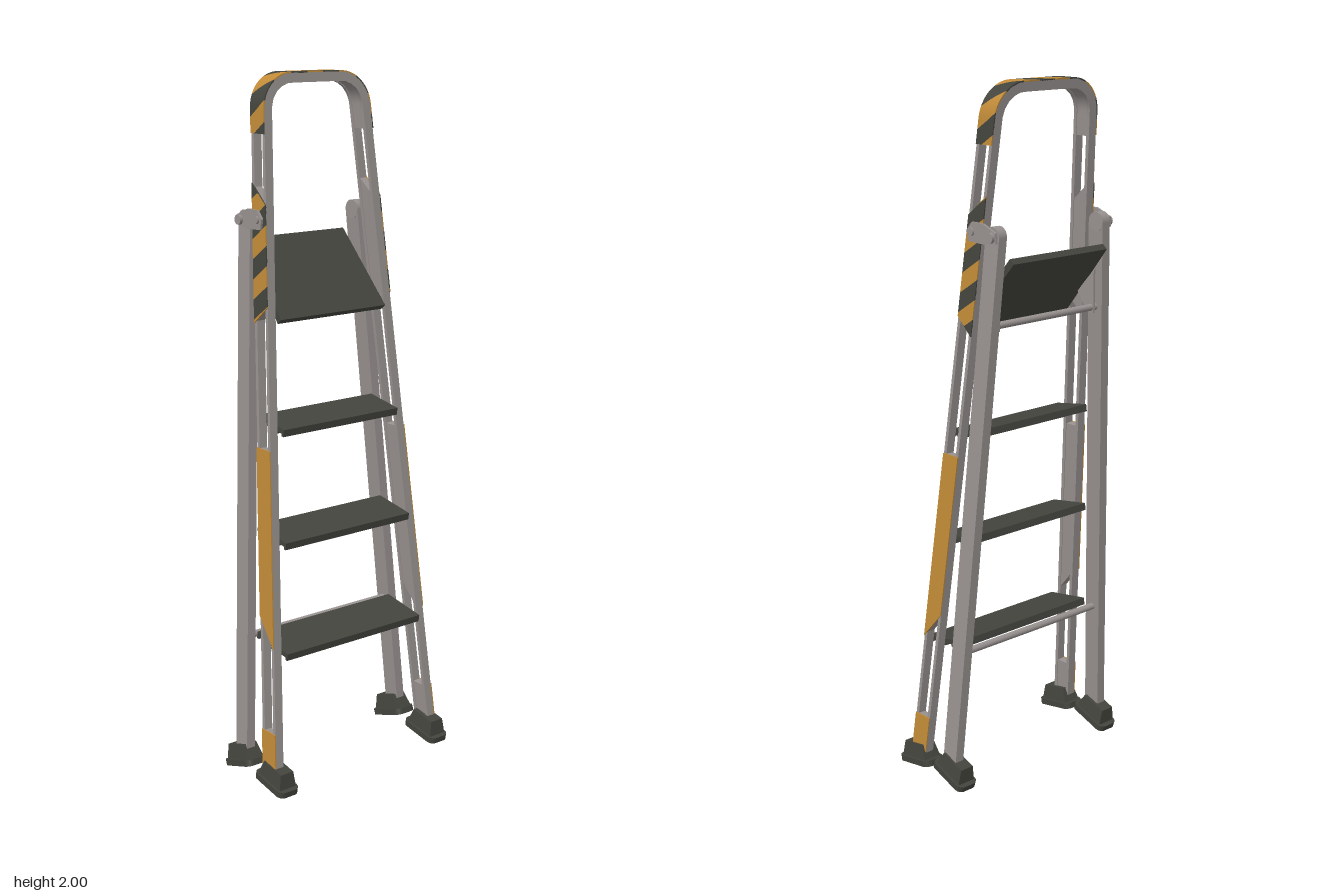
import * as THREE from 'three';

const mat = (name, color) => {
  const m = new THREE.MeshStandardMaterial({ color });
  m.name = name;
  return m;
};

export function createModel() {
  const root = new THREE.Group();
  root.name = 'stepLadder';
  const grey = mat('greyMetal', 0x989290);
  const dark = mat('darkRubber', 0x43443d);
  const orange = mat('orangePaint', 0xc08a37);

  const add = (name, geo, material, parent = root) => {
    const mesh = new THREE.Mesh(geo, material);
    mesh.name = name;
    parent.add(mesh);
    return mesh;
  };
  // Unit box whose vertices are moved by a rule
  const warp = (rule, nx = 1, ny = 1) => {
    const g = new THREE.BoxGeometry(1, 1, 1, nx, ny, 1);
    const p = g.attributes.position;
    for (let i = 0; i < p.count; i++) p.setXYZ(i, ...rule(p.getX(i), p.getY(i), p.getZ(i)));
    g.computeVertexNormals();
    return g;
  };
  const lerp = THREE.MathUtils.lerp;

  // Lean of the rails: x of front and rear rails and z of both at a height
  const frontX = (y) => 0.105 - 0.1005 * y;
  const rearX = (y) => -0.036 - 0.0573 * y;
  const railZ = (y) => 0.292 - 0.063 * y;

  // Hoop path: flat top, rounded corners, straight splayed sides; s runs from the top centre
  const flat = 0.087, r = 0.085, slant = 0.063, topY = 1.987;
  const turn = Math.PI / 2 - slant, bend = flat + r * turn;
  const endY = topY - r * (1 - Math.cos(turn)), endZ = flat + r * Math.sin(turn);
  const sAt = (y) => bend + (endY - y) / Math.cos(slant);
  const hoopPoint = (u, s, n) => {
    const a = Math.abs(s), sign = Math.sign(s) || 1;
    const t = THREE.MathUtils.clamp((a - flat) / r, 0, turn);
    const d = Math.max(0, a - bend);
    const z = Math.min(a, flat) + (r + n) * Math.sin(t) + d * Math.sin(slant);
    const y = topY - r + (r + n) * Math.cos(t) - d * Math.cos(slant);
    return [frontX(y) + u, y, sign * z];
  };
  const half = 0.031, thick = 0.013, sEnd = sAt(0.05);
  // Piece of the hoop; f0 and f1 give its ends as functions of u
  const sweep = (u0, u1, f0, f1, n0, n1, nx = 1, ny = 1) =>
    warp((x, y, z) => {
      const u = lerp(u0, u1, x + 0.5);
      return hoopPoint(u, lerp(f0(u), f1(u), 0.5 - y), lerp(n0, n1, z + 0.5));
    }, nx, ny);

  // Continuous front and back edges of the hoop
  for (const [u0, u1] of [[-half, -half + 0.011], [half - 0.011, half]])
    add('railEdge', sweep(u0, u1, () => -sEnd, () => sEnd, -thick, thick, 1, 160), grey);

  // Webs between the edges, leaving slots; ends may be cut at an angle
  const cut = (y, k = 0) => (u) => sAt(y + k * u);
  const flip = (f) => (u) => -f(u);
  const zones = [[cut(1.84), cut(1.84), true]];
  zones[0][0] = flip(zones[0][1]);
  const sides = [
    [cut(1.68, -0.9), cut(1.35, 0.8), true],
    [cut(0.98), cut(0.46, -1.3), false],
    [cut(0.17), cut(0.06), false],
  ];
  for (const [a, b, striped] of sides) zones.push([a, b, striped], [flip(b), flip(a), striped]);

  const period = 0.11, skew = -0.7, paint = 0.003;
  for (const [a, b, striped] of zones) {
    const wide = b(0) - a(0);
    add('railWeb', sweep(-half + 0.01, half - 0.01, a, b, -thick + 0.002, thick - 0.001, 1, wide > 0.55 ? 60 : 4), grey);
    if (!striped) {
      add('orangePanel', sweep(-half, half, a, b, thick - 0.001, thick + paint), orange);
      continue;
    }
    // Alternating slanted warning bands, clipped to the zone
    for (let i = -18; i < 18; i++) {
      const start = -0.0575 + i * period / 2;
      if (start > b(0) + 0.06 || start + period / 2 < a(0) - 0.06) continue;
      const edge = (s) => (u) => Math.min(b(u), Math.max(a(u), s + skew * u));
      const e0 = edge(start), e1 = edge(start + period / 2);
      if (Math.max(e1(-half) - e0(-half), e1(0) - e0(0), e1(half) - e0(half)) < 0.001) continue;
      add('warningStripe', sweep(-half, half, e0, e1, thick - 0.001, thick + paint, 8, 8), i % 2 ? orange : dark);
    }
  }

  // Rubber foot: rounded sole with a tapered boot
  const makeFoot = (x, y, z, tilt) => {
    const foot = new THREE.Group();
    foot.name = 'foot';
    const w = 0.067, d = 0.035, c = 0.02;
    const s = new THREE.Shape();
    s.absarc(w - c, d - c, c, 0, Math.PI / 2);
    s.absarc(-w + c, d - c, c, Math.PI / 2, Math.PI);
    s.absarc(-w + c, -d + c, c, Math.PI, Math.PI * 1.5);
    s.absarc(w - c, -d + c, c, Math.PI * 1.5, Math.PI * 2);
    const sole = new THREE.ExtrudeGeometry(s, { depth: 0.018, bevelEnabled: false, curveSegments: 6 });
    sole.rotateX(-Math.PI / 2);
    add('sole', sole, dark, foot);
    add('boot', warp((a, b, e) => {
      const k = 0.5 - b;
      return [a * lerp(0.082, 0.106, k), lerp(0.062, 0.016, k), e * lerp(0.044, 0.058, k)];
    }), dark, foot);
    foot.position.set(x, y, z);
    foot.rotation.z = tilt;
    root.add(foot);
  };

  const plate = (points, depth) => new THREE.ExtrudeGeometry(
    new THREE.Shape(points.map((p) => new THREE.Vector2(...p))), { depth, bevelEnabled: false });
  const cylZ = (rad, len) => new THREE.CylinderGeometry(rad, rad, len, 20).rotateX(Math.PI / 2);

  for (const side of [1, -1]) {
    makeFoot(0.108, 0.0125, side * 0.285, -0.18);
    makeFoot(-0.04, 0.022, side * 0.285, 0.33);

    // Rear leg with rounded head
    add('rearLeg', warp((x, y, z) => {
      const h = lerp(0.06, 1.605, y + 0.5);
      return [rearX(h) + x * 0.055, h, side * railZ(h) + z * 0.028];
    }), grey);
    add('legHead', cylZ(0.0275, 0.028), grey).position.set(rearX(1.605), 1.605, side * railZ(1.605));

    // Hinge plate and bolt joining rear leg and rail
    const hinge = add('hingePlate', plate([[-0.152, 1.59], [-0.15, 1.618], [-0.1, 1.638],
      [-0.055, 1.638], [-0.035, 1.615], [-0.04, 1.585], [-0.1, 1.583]], 0.007), grey);
    hinge.position.z = side > 0 ? 0.207 : -0.214;
    add('hingeBolt', cylZ(0.014, 0.04), grey).position.set(-0.135, 1.605, side * 0.203);
    add('hingeBolt', cylZ(0.011, 0.03), grey).position.set(-0.055, 1.612, side * 0.205);

    // Bracket carrying the platform
    add('platformBracket', plate([[-0.125, 1.345], [-0.1, 1.345], [-0.06, 1.4], [-0.125, 1.47]], 0.006), grey)
      .position.z = side * 0.178 - 0.003;
  }

  // Treads with ribbed undersides
  for (const [x, y, len, halfZ] of [[-0.01, 1.04, 0.122, 0.207], [0.017, 0.724, 0.136, 0.227], [0.042, 0.407, 0.146, 0.247]]) {
    const step = new THREE.Group();
    step.name = 'step';
    add('tread', new THREE.BoxGeometry(len, 0.014, halfZ * 2), dark, step).position.y = 0.003;
    for (let i = 0; i < 5; i++)
      add('treadRib', new THREE.BoxGeometry(0.008, 0.008, halfZ * 2), dark, step)
        .position.set((i / 4 - 0.5) * (len - 0.008), -0.007, 0);
    step.position.set(x, y, 0);
    step.rotation.z = -0.17;
    root.add(step);
  }

  // Folded-up top platform, slightly wider at its lower edge
  const platform = add('platform', warp((x, y, z) =>
    [x * 0.272, y * 0.02, z * lerp(0.346, 0.374, x + 0.5)]), dark);
  platform.position.set(-0.081, 1.438, 0);
  platform.rotation.z = -0.86;

  // Cross bars between the rear legs
  for (const y of [1.36, 0.41])
    add('crossBar', cylZ(0.01, railZ(y) * 2), grey).position.set(rearX(y), y, 0);

  return root;
}
